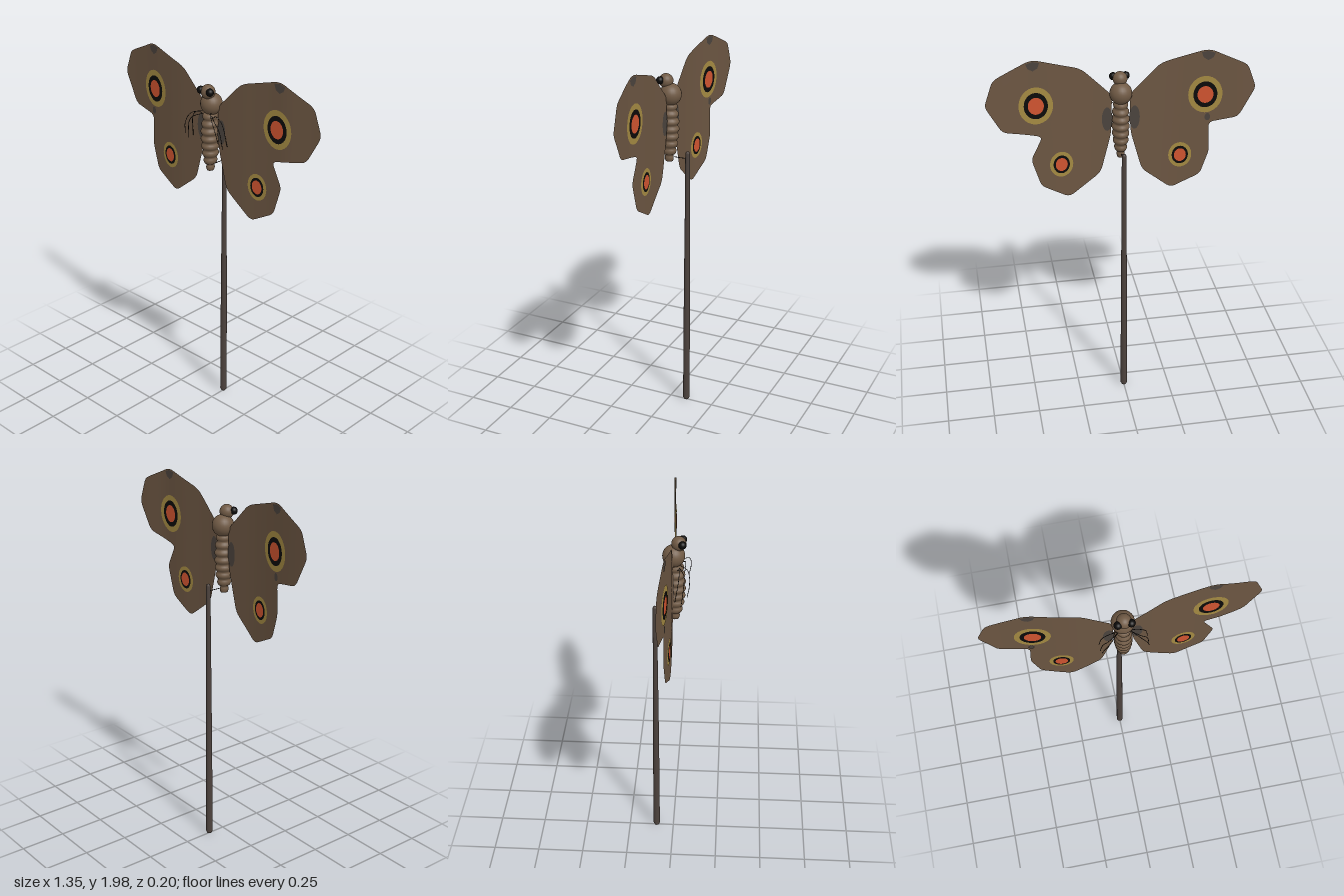
import * as THREE from 'three';

const mat = (name, color, side = THREE.FrontSide) => {
  const m = new THREE.MeshStandardMaterial({ color, side });
  m.name = name;
  return m;
};
const V2 = (x, y) => new THREE.Vector2(x, y);
const V3 = (x, y, z) => new THREE.Vector3(x, y, z);

// Gentle backward sweep of the wings, slightly different on each side
const sweep = (x) => x < 0
  ? -0.046 * THREE.MathUtils.smoothstep(-x, 0.18, 0.72)
  : -0.012 * THREE.MathUtils.smoothstep(x, 0.1, 0.4) - 0.021 * THREE.MathUtils.smoothstep(x, 0.45, 0.69);

// Closed outline with slightly rounded corners
function roundedOutline(corners, count) {
  const shape = new THREE.Shape();
  const n = corners.length;
  corners.forEach(([x, y], i) => {
    const p = V2(x, y);
    const a = p.clone().lerp(V2(...corners[(i + n - 1) % n]), 0.16);
    const b = p.clone().lerp(V2(...corners[(i + 1) % n]), 0.16);
    if (i === 0) shape.moveTo(a.x, a.y); else shape.lineTo(a.x, a.y);
    shape.quadraticCurveTo(x, y, b.x, b.y);
  });
  shape.closePath();
  return shape.getSpacedPoints(count).slice(0, count);
}

const ellipse = (cx, cy, rx, ry) => new THREE.EllipseCurve(cx, cy, rx, ry).getPoints(32).slice(0, 32);

// Sheet made of rings from a centre to an outline, laid on the wing sweep
function sheet(outline, cx, cy, rings, offset) {
  const pos = [], index = [], n = outline.length;
  for (let r = 0; r <= rings; r++) {
    for (const p of outline) {
      const x = cx + (p.x - cx) * r / rings, y = cy + (p.y - cy) * r / rings;
      pos.push(x, y, sweep(x) + offset);
    }
  }
  for (let r = 0; r < rings; r++) {
    for (let i = 0; i < n; i++) {
      const j = (i + 1) % n, a = r * n + i, b = r * n + j, c = a + n, d = b + n;
      index.push(a, c, d);
      if (r > 0) index.push(a, d, b);
    }
  }
  const g = new THREE.BufferGeometry();
  g.setAttribute('position', new THREE.Float32BufferAttribute(pos, 3));
  g.setIndex(index);
  g.computeVertexNormals();
  return g;
}

export function createModel() {
  const model = new THREE.Group();
  const wingBrown = mat('wing brown', 0x6c5642, THREE.DoubleSide);
  const bodyBrown = mat('body brown', 0x705a45);
  const gold = mat('spot gold', 0xa48a42, THREE.DoubleSide);
  const black = mat('black', 0x0b0a09, THREE.DoubleSide);
  const red = mat('spot red', 0xd05430, THREE.DoubleSide);
  const grey = mat('mark grey', 0x4b433d, THREE.DoubleSide);
  const stickDark = mat('stick dark brown', 0x4c423d);

  const add = (name, geometry, material, parent = model) => {
    const m = new THREE.Mesh(geometry, material);
    m.name = name;
    parent.add(m);
    return m;
  };

  // Wings: each side is one sheet with an upper and a lower lobe
  const rightWing = [[-0.045, 1.76], [-0.2, 1.915], [-0.44, 1.982], [-0.635, 1.895], [-0.682, 1.77],
    [-0.6, 1.61], [-0.45, 1.583], [-0.458, 1.42], [-0.415, 1.285], [-0.264, 1.208], [-0.11, 1.33], [-0.05, 1.55]];
  const leftWing = [[0.045, 1.76], [0.2, 1.915], [0.44, 1.982], [0.635, 1.895], [0.682, 1.76],
    [0.6, 1.61], [0.4, 1.565], [0.462, 1.44], [0.415, 1.285], [0.27, 1.205], [0.105, 1.33], [0.05, 1.55]];

  for (const [side, name, corners] of [[-1, 'rightWing', rightWing], [1, 'leftWing', leftWing]]) {
    const wing = new THREE.Group();
    wing.name = name;
    model.add(wing);
    add(name + 'Sheet', sheet(roundedOutline(corners, 144), side * 0.28, 1.62, 16, 0), wingBrown, wing);

    // Painted marks on both faces
    for (const face of [1, -1]) {
      const spot = (label, x, y, rx, ry, material, layer) =>
        add(label, sheet(ellipse(side * x, y, rx, ry), side * x, y, 4, face * 0.0015 * layer), material, wing);
      spot('upperEyespotRim', 0.428, 1.737, 0.086, 0.1, gold, 1);
      spot('upperEyespotRing', 0.428, 1.737, 0.06, 0.071, black, 2);
      spot('upperEyespotCentre', 0.428, 1.737, 0.04, 0.046, red, 3);
      spot('lowerEyespotRim', 0.308, 1.4, 0.06, 0.071, gold, 1);
      spot('lowerEyespotRing', 0.308, 1.4, 0.042, 0.051, black, 2);
      spot('lowerEyespotCentre', 0.308, 1.4, 0.031, 0.037, red, 3);
      spot('wingRootMark', 0.07, 1.63, 0.027, 0.065, grey, 1);
      if (side < 0) spot('notchMark', 0.442, 1.613, 0.014, 0.02, grey, 2);
      const tip = [[-0.034, 1.964], [0, 1.971], [0.034, 1.96], [0.024, 1.936], [0, 1.922], [-0.024, 1.936]]
        .map(([x, y]) => V2(side * (0.437 + x), y));
      add('wingTipMark', sheet(tip, side * 0.437, 1.95, 2, face * 0.0015), grey, wing);
    }
  }

  // Abdomen: a lathe of bulging rings
  const radii = [0.02, 0.032, 0.039, 0.043, 0.045, 0.045, 0.042, 0.037];
  const profile = [V2(0, 1.405)];
  const step = 0.315 / radii.length;
  radii.forEach((r, i) => {
    for (let k = 0; k < 6; k++) {
      const bulge = Math.sin(Math.PI * (k + 0.5) / 6);
      profile.push(V2(r * (0.78 + 0.25 * bulge), 1.407 + (i + (k + 0.5) / 6) * step));
    }
  });
  profile.push(V2(0, 1.725));
  add('abdomen', new THREE.LatheGeometry(profile, 24), bodyBrown).scale.z = 1.16;
  model.getObjectByName('abdomen').position.z = 0.008;

  // Thorax, head and eyes
  const ball = (name, x, y, z, r, material) =>
    add(name, new THREE.SphereGeometry(r, 24, 16), material).position.set(x, y, z);
  ball('thorax', 0, 1.767, 0, 0.057, bodyBrown);
  ball('head', 0, 1.835, 0.025, 0.037, bodyBrown);
  for (const s of [-1, 1]) ball('eye', s * 0.032, 1.842, 0.044, 0.02, black);

  // Three pairs of thin bent legs
  const legs = [
    [[0.03, 1.73, 0.035], [0.07, 1.72, 0.075], [0.105, 1.66, 0.083], [0.115, 1.6, 0.072]],
    [[0.03, 1.715, 0.03], [0.075, 1.695, 0.055], [0.105, 1.66, 0.055], [0.12, 1.565, 0.045]],
    [[0.03, 1.7, 0.02], [0.06, 1.72, 0.03], [0.1, 1.69, 0.03], [0.12, 1.57, 0.012]],
  ];
  for (const s of [-1, 1]) for (const leg of legs) {
    const curve = new THREE.CatmullRomCurve3(leg.map(([x, y, z]) => V3(s * x, y, z)));
    add('leg', new THREE.TubeGeometry(curve, 12, 0.0016, 5), black);
  }

  // Stick behind the body, with rounded ends and a fine pin
  const stick = [V2(0, 0), V2(0.012, 0.003), V2(0.018, 0.014), V2(0.0175, 0.4), V2(0.0155, 0.8),
    V2(0.0125, 1.2), V2(0.012, 1.462), V2(0.008, 1.472), V2(0, 1.475)];
  add('stick', new THREE.LatheGeometry(stick, 16), stickDark).position.z = -0.096;
  const pin = add('pin', new THREE.CylinderGeometry(0.002, 0.002, 0.08, 6), black);
  pin.rotation.x = Math.PI / 2;
  pin.position.set(0, 1.435, -0.06);

  return model;
}
